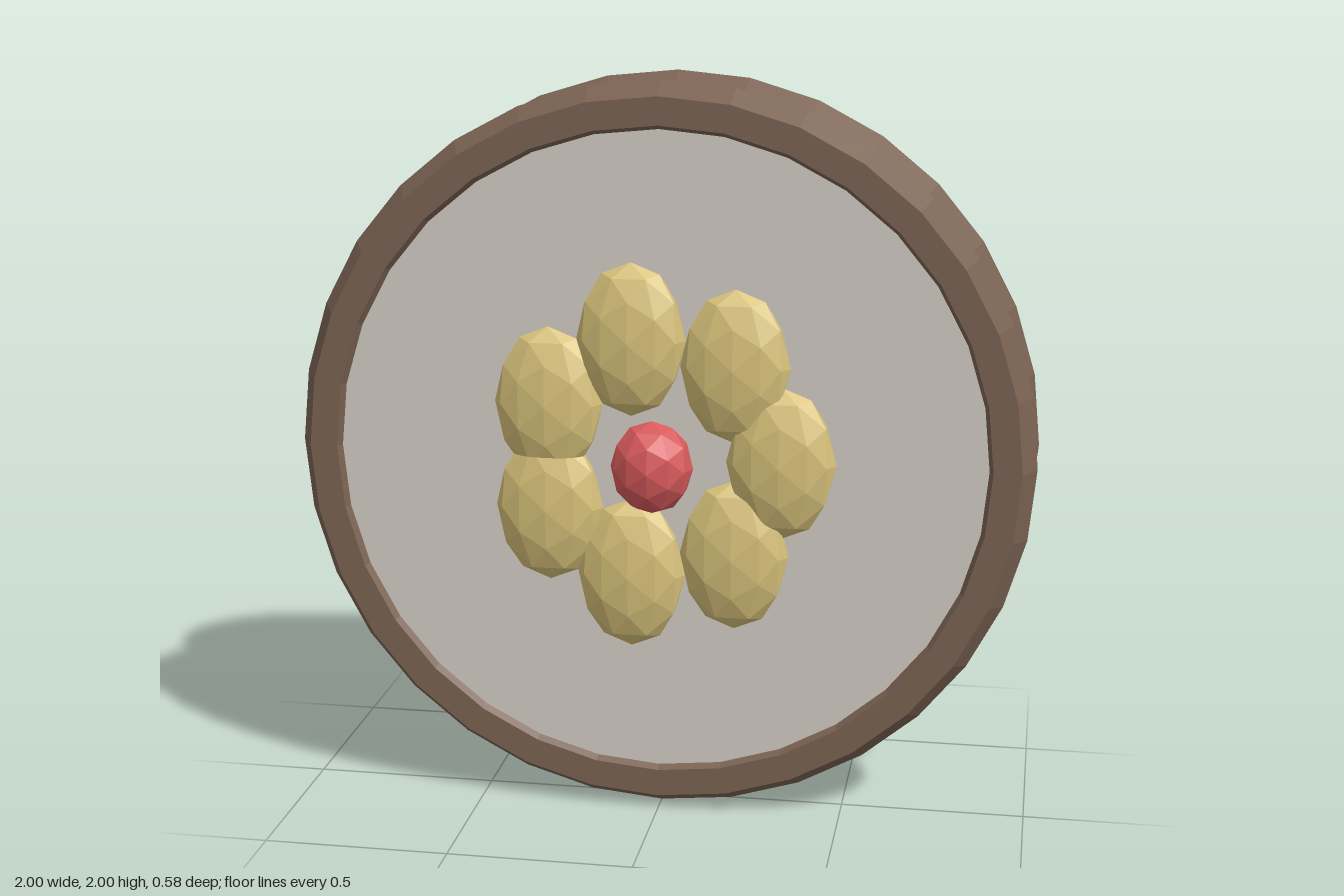
import * as THREE from 'three';

const material = (name, color) => {
  const m = new THREE.MeshStandardMaterial({ color });
  m.name = name;
  m.flatShading = true;
  return m;
};

export function createModel() {
  const wood = material('brown wood', 0x7b6353);
  const darkWood = material('dark brown', 0x5c4d42);
  const red = material('red', 0xd95a5c);
  const yellow = material('straw yellow', 0xd8c27a);
  const skin = material('pale skin', 0xd3cec5);

  const model = new THREE.Group();
  model.name = 'drum';
  const add = (name, geometry, mat, x, y, z) => {
    const mesh = new THREE.Mesh(geometry, mat);
    mesh.name = name;
    mesh.position.set(x, y, z);
    model.add(mesh);
    return mesh;
  };

  const frontZ = 0.045, backZ = -0.225, midZ = (frontZ + backZ) / 2;

  // Six-sided hoops
  const hoop = new THREE.TorusGeometry(0.925, 0.075, 6, 32);
  add('frontHoop', hoop, wood, 0, 1, frontZ);
  add('backHoop', hoop, wood, 0, 1, backZ);

  // Stretched skins, just inside the hoop faces
  const head = new THREE.CircleGeometry(0.9, 32);
  add('frontHead', head, skin, 0, 1, frontZ + 0.046);
  add('backHead', head, skin, 0, 1, backZ - 0.046).rotation.y = Math.PI;

  // Shell between the hoops
  const shell = new THREE.CylinderGeometry(0.915, 0.915, 0.24, 32, 1, true);
  shell.rotateX(Math.PI / 2);
  shell.rotateZ(Math.PI / 2);
  add('shell', shell, red, 0, 1, midZ);

  // Tension rods around the shell
  const rod = new THREE.CylinderGeometry(0.02, 0.02, 0.2, 8);
  rod.rotateX(Math.PI / 2);
  for (let i = 0; i < 12; i++) {
    const a = (i * Math.PI) / 6;
    add('tensionRod', rod, darkWood, 0.923 * Math.cos(a), 1 + 0.923 * Math.sin(a), midZ);
  }

  // Flower: upright oval petals around a bead
  const ball = new THREE.IcosahedronGeometry(1, 1);
  for (let i = 0; i < 7; i++) {
    const a = (i * Math.PI * 2) / 7;
    add('petal', ball, yellow, 0.33 * Math.cos(a), 1 + 0.33 * Math.sin(a), 0.1).scale.set(0.147, 0.207, 0.066);
  }
  add('flowerCentre', ball, red, 0, 1.003, 0.2).scale.set(0.11, 0.125, 0.09);

  return model;
}
